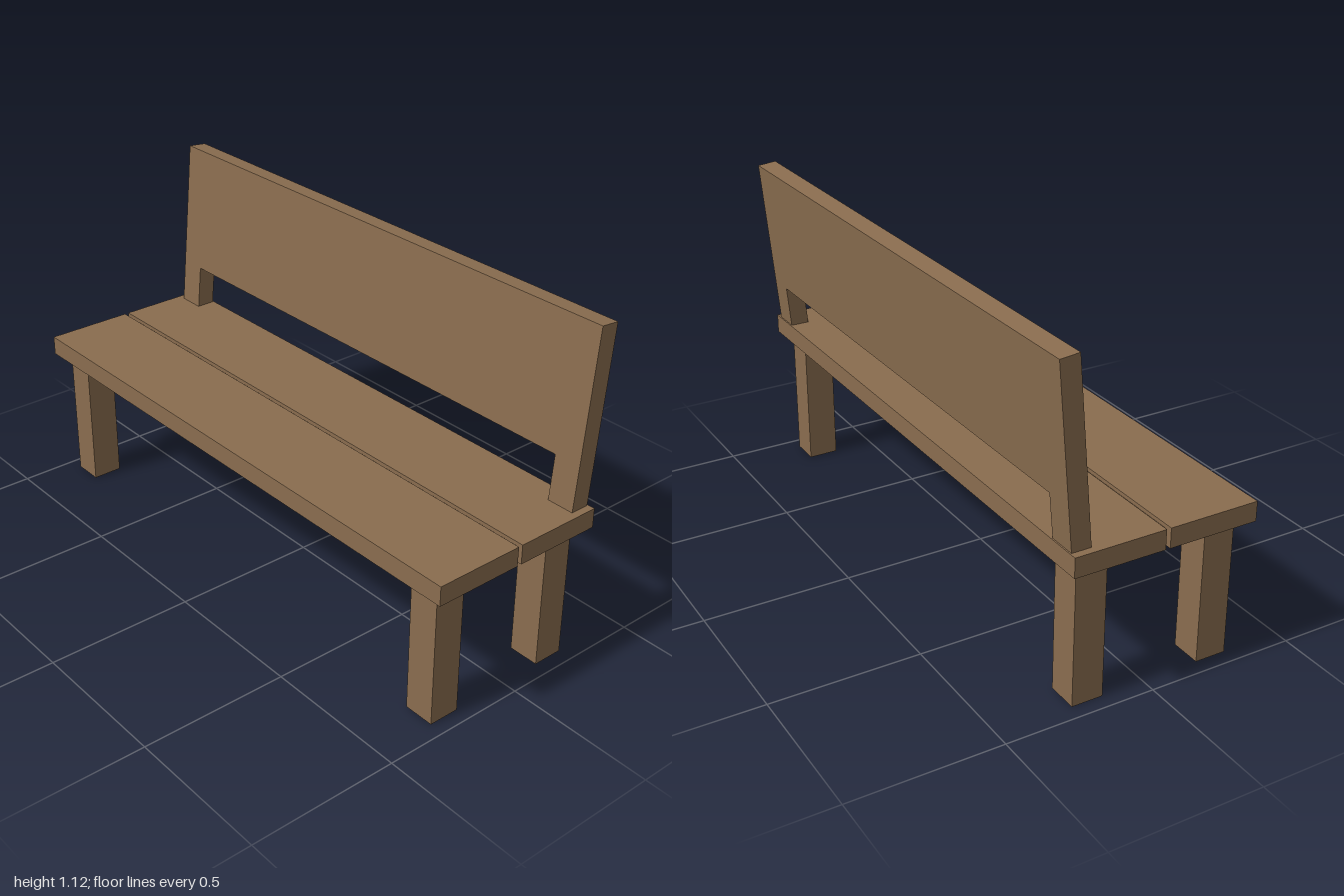
import * as THREE from 'three';

export function createModel() {
  const bench = new THREE.Group();
  bench.name = 'bench';
  const wood = new THREE.MeshStandardMaterial({ color: 0x8a6d4f });
  wood.name = 'brown wood';

  // Box given by its lower and upper corners
  function block(name, [x0, y0, z0], [x1, y1, z1]) {
    const mesh = new THREE.Mesh(new THREE.BoxGeometry(x1 - x0, y1 - y0, z1 - z0), wood);
    mesh.position.set((x0 + x1) / 2, (y0 + y1) / 2, (z0 + z1) / 2);
    mesh.name = name;
    bench.add(mesh);
  }

  // Two seat planks with a recessed strip closing the gap
  block('frontSeatPlank', [-1, 0.467, 0.033], [1, 0.533, 0.339]);
  block('rearSeatPlank', [-1, 0.467, -0.287], [1, 0.533, 0.018]);
  block('seatJoint', [-0.975, 0.48, 0.018], [0.975, 0.52, 0.033]);

  // Four square legs
  for (const [side, x] of [['left', 0.845], ['right', -0.95]]) {
    block(side + 'FrontLeg', [x, 0, 0.195], [x + 0.105, 0.467, 0.3]);
    block(side + 'RearLeg', [x, 0, -0.249], [x + 0.105, 0.467, -0.144]);
  }

  // Backrest: one board on two short feet, leaning back
  const w = 0.975, inner = 0.88, gap = 0.152, top = 0.593, thick = 0.065;
  const outline = new THREE.Shape([
    [-w, 0], [-inner, 0], [-inner, gap], [inner, gap],
    [inner, 0], [w, 0], [w, top], [-w, top],
  ].map(([x, y]) => new THREE.Vector2(x, y)));
  const board = new THREE.ExtrudeGeometry(outline, { depth: thick, bevelEnabled: false });
  board.translate(0, 0, -thick);
  const back = new THREE.Mesh(board, wood);
  back.name = 'backrest';
  back.position.set(0, 0.533, -0.217);
  back.rotation.x = -0.091;
  bench.add(back);

  return bench;
}
